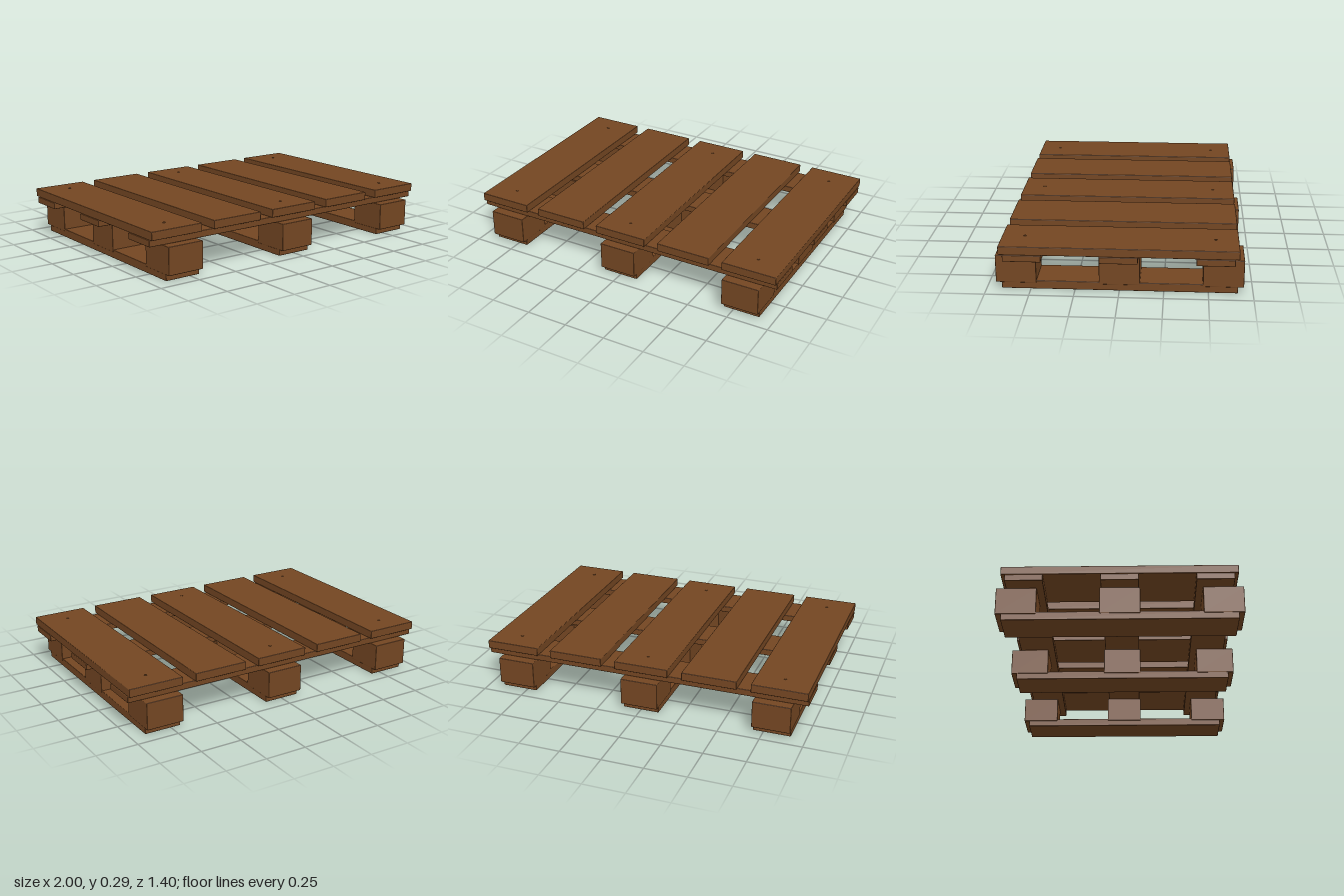
import * as THREE from 'three';
import { RoundedBoxGeometry } from 'three/addons/geometries/RoundedBoxGeometry.js';

export function createModel() {
  const group = new THREE.Group();
  group.name = 'pallet';
  const wood = new THREE.MeshStandardMaterial({ color: 0x734622 });
  wood.name = 'brown wood';

  // Timber with slightly eased edges, placed by its underside
  function timber(name, w, h, d, x, y, z) {
    const mesh = new THREE.Mesh(new RoundedBoxGeometry(w, h, d, 2, 0.004), wood);
    mesh.name = name;
    mesh.position.set(x, y + h / 2, z);
    group.add(mesh);
  }

  // Five deck boards running front to back
  for (const x of [-0.833, -0.418, 0, 0.418, 0.833]) {
    timber('deckBoard', 0.332, 0.05, 1.33, x, 0.24, 0);
  }

  // Three cross boards under the deck
  for (const z of [-0.535, 0, 0.535]) {
    timber('crossBoard', 2, 0.039, 0.214, 0, 0.2, z);
  }

  // Three skids, each a bottom board carrying three blocks
  for (const x of [-0.8, 0, 0.8]) {
    timber('bottomBoard', 0.222, 0.05, 1.33, x, 0, 0);
    for (const z of [-0.583, 0, 0.583]) {
      timber('block', 0.228, 0.163, 0.23, x, 0.037, z);
    }
  }

  // Nail heads on the outer and middle deck boards
  const nailGeometry = new THREE.CylinderGeometry(0.008, 0.009, 0.008, 12);
  for (const x of [-0.833, 0, 0.833]) {
    for (const z of [-0.535, 0.535]) {
      const nail = new THREE.Mesh(nailGeometry, wood);
      nail.name = 'nailHead';
      nail.position.set(x, 0.289, z);
      group.add(nail);
    }
  }
  return group;
}
